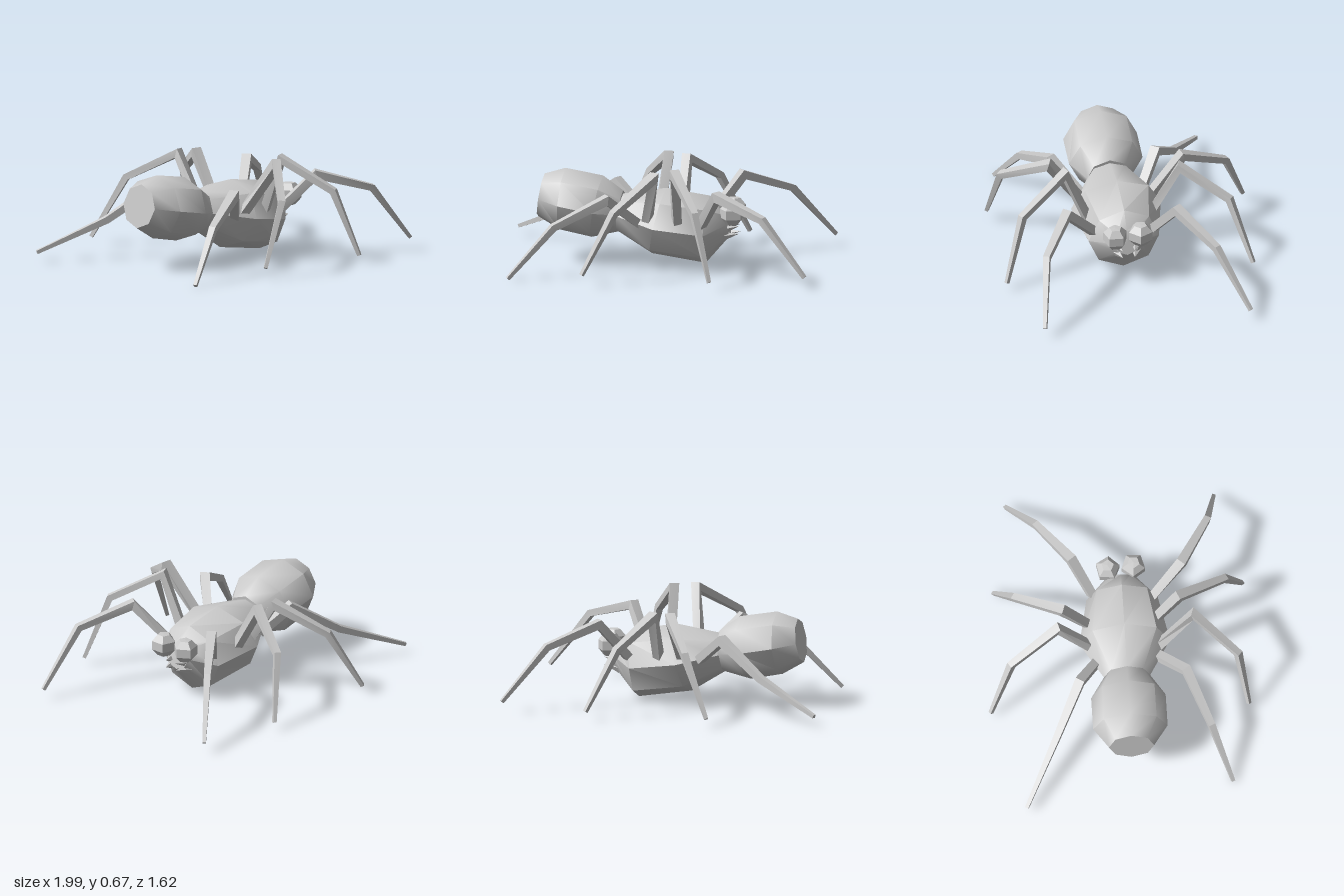
import * as THREE from 'three';
import { toCreasedNormals } from 'three/addons/utils/BufferGeometryUtils.js';

const MID_Z = 0.045;
const material = new THREE.MeshStandardMaterial({ color: 0xcccccc });

// Skin a list of equal-length point loops and close both ends
function loft(rings, crease) {
  const n = rings[0].length;
  const tris = [];
  const centre = (ring) =>
    ring.reduce((sum, p) => sum.add(p), new THREE.Vector3()).divideScalar(n);
  const first = rings[0], last = rings[rings.length - 1];
  const c0 = centre(first), c1 = centre(last);
  for (let k = 0; k < n; k++) {
    const m = (k + 1) % n;
    for (let i = 0; i < rings.length - 1; i++) {
      const a = rings[i][k], b = rings[i][m], c = rings[i + 1][m], d = rings[i + 1][k];
      tris.push(a, b, c, a, c, d);
    }
    tris.push(c0, first[m], first[k], c1, last[k], last[m]);
  }
  const geometry = new THREE.BufferGeometry().setFromPoints(tris);
  return toCreasedNormals(geometry, crease);
}

function addMesh(parent, name, geometry, mat = material) {
  const mesh = new THREE.Mesh(geometry, mat);
  mesh.name = name;
  parent.add(mesh);
  return mesh;
}

// Leaning eight-sided ring from its top point, bottom point and half width
function bodyRing([xTop, yTop, xBottom, yBottom, halfWidth]) {
  return Array.from({ length: 8 }, (_, k) => {
    const angle = (k * Math.PI) / 4;
    const t = (1 - Math.cos(angle)) / 2;
    return new THREE.Vector3(
      THREE.MathUtils.lerp(xTop, xBottom, t),
      THREE.MathUtils.lerp(yTop, yBottom, t),
      MID_Z + halfWidth * Math.sin(angle)
    );
  });
}

// Tapered square leg through root, knee, shin and tip
const LEG_HALF = [0.026, 0.03, 0.021, 0.011];
function legGeometry(points) {
  const p = points.map((q) => new THREE.Vector3(...q));
  const up = new THREE.Vector3(0, 1, 0);
  const across = p[3].clone().sub(p[0]).cross(up).normalize();
  const rings = p.map((point, i) => {
    const before = point.clone().sub(p[Math.max(i - 1, 0)]).normalize();
    const after = p[Math.min(i + 1, 3)].clone().sub(point).normalize();
    const along = before.add(after).normalize();
    const side = across.clone().addScaledVector(along, -across.dot(along)).normalize();
    const top = along.clone().cross(side);
    const h = LEG_HALF[i];
    return [[1, 1], [-1, 1], [-1, -1], [1, -1]].map(([s, t]) =>
      point.clone().addScaledVector(side, s * h).addScaledVector(top, t * h));
  });
  return loft(rings, 0.3);
}

export function createModel() {
  const spider = new THREE.Group();
  spider.name = 'spider';

  // Abdomen, from blunt tail to waist
  addMesh(spider, 'abdomen', loft([
    [-0.73, 0.55, -0.77, 0.28, 0.14],
    [-0.60, 0.59, -0.635, 0.2, 0.23],
    [-0.365, 0.55, -0.435, 0.16, 0.23],
    [-0.24, 0.46, -0.27, 0.2, 0.14],
  ].map(bodyRing), 0.9));

  // Head and thorax, from waist to snout
  addMesh(spider, 'thorax', loft([
    [-0.24, 0.44, -0.285, 0.21, 0.14],
    [0.03, 0.485, -0.06, 0.07, 0.28],
    [0.3, 0.445, 0.275, 0.02, 0.22],
    [0.4, 0.36, 0.43, 0.2, 0.085],
  ].map(bodyRing), 0.75));

  // Faceted eyes
  const eyeProfile = [[0, -0.07], [0.04, -0.068], [0.076, -0.028], [0.076, 0.028], [0.04, 0.068], [0, 0.07]]
    .map(([r, y]) => new THREE.Vector2(r, y));
  const eyeMaterial = material.clone();
  eyeMaterial.flatShading = true;
  for (const [name, x, z, turn] of [['leftEye', 0.44, -0.035, 0.2], ['rightEye', 0.452, 0.125, 0.9]]) {
    const eye = addMesh(spider, name, new THREE.LatheGeometry(eyeProfile, 5), eyeMaterial);
    eye.position.set(x, 0.352, z);
    eye.rotation.y = turn;
  }

  // Two pairs of small pointed fangs
  for (const side of [-1, 1]) {
    for (const [name, y, lift] of [['upperFang', 0.255, 0.02], ['lowerFang', 0.21, 0.015]]) {
      const fang = addMesh(spider, name, new THREE.ConeGeometry(0.03, 0.11, 4), eyeMaterial);
      fang.position.set(0.435, y, MID_Z + side * 0.05);
      const aim = new THREE.Vector3(0.1, lift, -side * 0.025).normalize();
      fang.quaternion.setFromUnitVectors(new THREE.Vector3(0, 1, 0), aim);
    }
  }

  // Eight legs: root, knee, shin, tip
  const legs = {
    rightFrontLeg: [[0.27, 0.29, 0.23], [0.4, 0.52, 0.42], [0.71, 0.42, 0.595], [0.983, 0.08, 0.65]],
    rightSecondLeg: [[0.125, 0.31, 0.25], [0.135, 0.645, 0.39], [0.3, 0.46, 0.68], [0.41, 0.06, 0.795]],
    rightThirdLeg: [[-0.06, 0.31, 0.25], [0.015, 0.64, 0.47], [-0.195, 0.46, 0.735], [-0.385, 0.08, 0.79]],
    rightBackLeg: [[-0.11, 0.29, 0.23], [-0.29, 0.475, 0.41], [-0.6, 0.32, 0.545], [-0.865, 0.015, 0.665]],
    leftFrontLeg: [[0.3, 0.3, -0.14], [0.46, 0.52, -0.26], [0.74, 0.4, -0.46], [0.983, 0.08, -0.635]],
    leftSecondLeg: [[0.1, 0.31, -0.17], [0.1, 0.595, -0.335], [0.26, 0.43, -0.62], [0.43, 0.06, -0.74]],
    leftThirdLeg: [[-0.04, 0.31, -0.17], [-0.02, 0.6, -0.37], [-0.18, 0.43, -0.665], [-0.35, 0.06, -0.8]],
    leftBackLeg: [[-0.15, 0.3, -0.14], [-0.32, 0.45, -0.25], [-0.6, 0.25, -0.405], [-0.99, 0.07, -0.615]],
  };
  for (const [name, points] of Object.entries(legs)) {
    addMesh(spider, name, legGeometry(points));
  }

  return spider;
}
